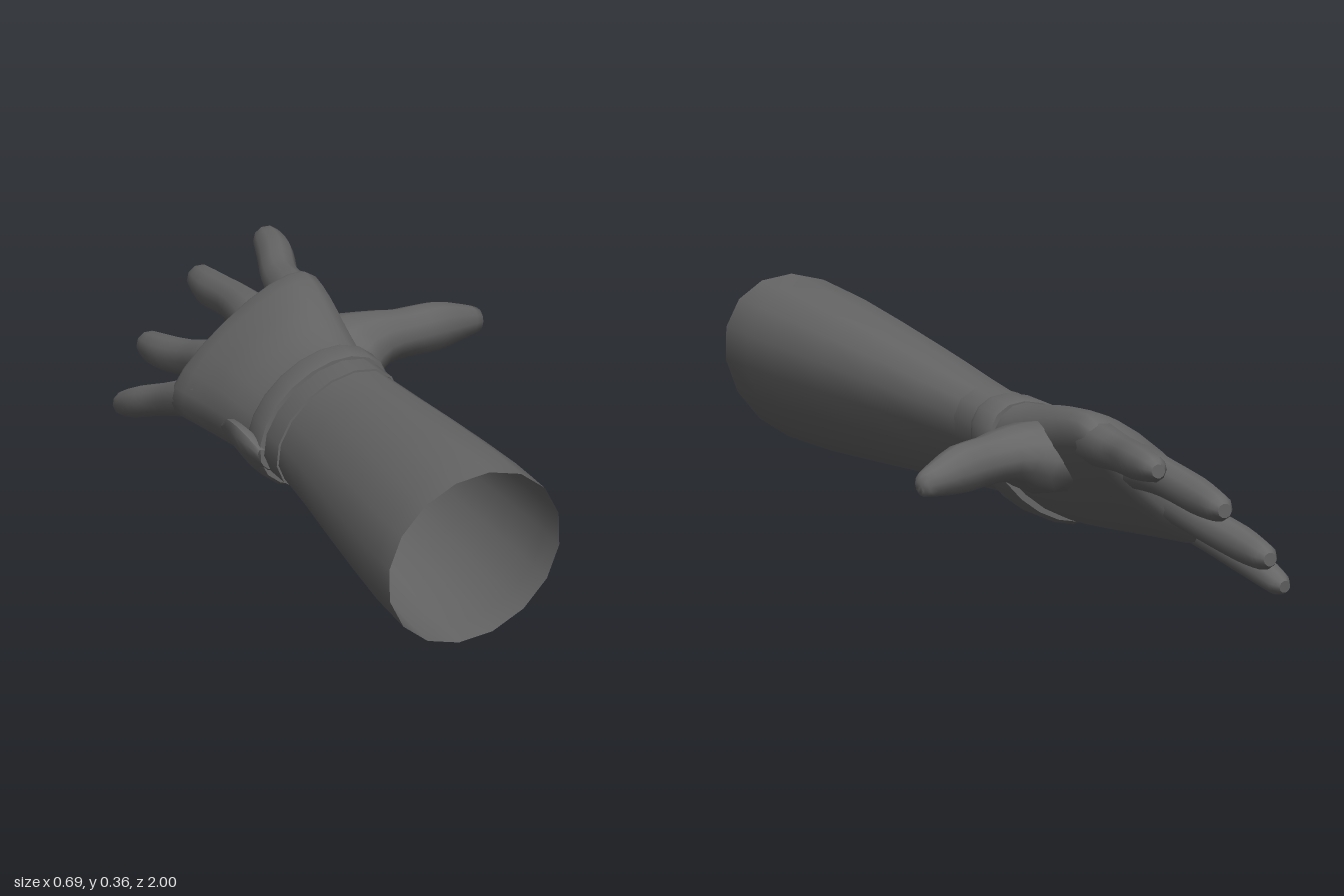
import * as THREE from 'three';
import { toCreasedNormals } from 'three/addons/utils/BufferGeometryUtils.js';

const material = new THREE.MeshStandardMaterial({ color: 0x666666, side: THREE.DoubleSide });
const TILT = 0.73; // roll of the whole arm about its length
const ACROSS = new THREE.Vector3(Math.cos(TILT), Math.sin(TILT), 0);
const DOWN_ARM = new THREE.Vector3(0, 0, -1);

// Skin elliptical rings. Each row: x, y, z, half size along axis, half size across it.
function loft(name, rows, { axis = ACROSS, dir = null, sides = 16, cap = false, steps = 2, power = 1 } = {}) {
  const curve = new THREE.CatmullRomCurve3(rows.map(r => new THREE.Vector3(r[0], r[1], r[2])));
  const sizes = new THREE.CatmullRomCurve3(rows.map(r => new THREE.Vector3(r[3], r[4], 0)));
  const rings = (rows.length - 1) * steps;
  const pos = [], index = [];
  const bend = c => Math.sign(c) * Math.abs(c) ** power;
  for (let i = 0; i <= rings; i++) {
    const c = curve.getPoint(i / rings), s = sizes.getPoint(i / rings);
    const t = dir || curve.getTangent(i / rings);
    const u = axis.clone().addScaledVector(t, -axis.dot(t)).normalize();
    const v = t.clone().cross(u);
    for (let j = 0; j < sides; j++) {
      const a = (j / sides) * Math.PI * 2;
      const p = c.clone().addScaledVector(u, s.x * bend(Math.cos(a))).addScaledVector(v, s.y * bend(Math.sin(a)));
      pos.push(p.x, p.y, p.z);
      if (i < rings) {
        const k = (j + 1) % sides, o = i * sides, n = o + sides;
        index.push(o + j, o + k, n + k, o + j, n + k, n + j);
      }
    }
  }
  if (cap) {
    const end = rows[rows.length - 1], o = rings * sides;
    pos.push(end[0], end[1], end[2]);
    for (let j = 0; j < sides; j++) index.push(o + j, o + (j + 1) % sides, o + sides);
  }
  const geo = new THREE.BufferGeometry();
  geo.setAttribute('position', new THREE.Float32BufferAttribute(pos, 3));
  geo.setIndex(index);
  const mesh = new THREE.Mesh(toCreasedNormals(geo, 0.9), material);
  mesh.name = name;
  return mesh;
}

export function createModel() {
  const arm = new THREE.Group();
  arm.name = 'glovedArm';

  // Open sleeve, tapering to the wrist
  arm.add(loft('forearm', [
    [-0.113, 0.19, 1, 0.201, 0.156],
    [-0.114, 0.19, 0.8, 0.197, 0.15],
    [-0.115, 0.19, 0.4, 0.173, 0.12],
    [-0.115, 0.187, 0, 0.147, 0.088],
    [-0.118, 0.185, -0.12, 0.146, 0.086],
  ], { dir: DOWN_ARM }));

  // Glove cuff and the raised strap around it
  arm.add(loft('cuff', [
    [-0.115, 0.187, 0.02, 0.149, 0.089],
    [-0.115, 0.187, 0.02, 0.153, 0.094],
    [-0.117, 0.185, -0.08, 0.152, 0.09],
    [-0.118, 0.183, -0.16, 0.15, 0.087],
  ], { dir: DOWN_ARM, steps: 1 }));
  arm.add(loft('wristStrap', [
    [-0.117, 0.182, -0.07, 0.145, 0.085],
    [-0.117, 0.182, -0.07, 0.16, 0.1],
    [-0.117, 0.18, -0.085, 0.165, 0.104],
    [-0.117, 0.18, -0.145, 0.165, 0.104],
    [-0.118, 0.182, -0.16, 0.16, 0.098],
    [-0.118, 0.182, -0.16, 0.145, 0.085],
  ], { dir: DOWN_ARM, steps: 1, sides: 20 }));

  // Leaf-shaped pull tab on the little-finger side
  arm.add(loft('strapTab', [
    [-0.242, 0.11, -0.065, 0.025, 0.012],
    [-0.25, 0.112, -0.12, 0.065, 0.024],
    [-0.258, 0.12, -0.2, 0.05, 0.02],
    [-0.272, 0.125, -0.27, 0.006, 0.006],
  ], { axis: new THREE.Vector3(-0.55, 0.83, 0), dir: DOWN_ARM, sides: 10, cap: true }));

  // Palm, widening to the knuckles and closing between the fingers
  arm.add(loft('palm', [
    [-0.118, 0.184, -0.11, 0.148, 0.086],
    [-0.124, 0.185, -0.2, 0.155, 0.09],
    [-0.131, 0.196, -0.32, 0.17, 0.09],
    [-0.138, 0.206, -0.43, 0.186, 0.08],
    [-0.146, 0.212, -0.54, 0.198, 0.068],
    [-0.145, 0.208, -0.59, 0.188, 0.05],
    [-0.142, 0.208, -0.615, 0.16, 0.025],
  ], { dir: DOWN_ARM, cap: true, sides: 20, power: 0.9 }));

  // Fingers: knuckle to tip centres; each gets the same taper, scaled
  const fingers = {
    indexFinger: [1, [-0.05, 0.295, -0.49], [-0.035, 0.298, -0.6], [-0.027, 0.3, -0.7], [0, 0.31, -0.83], [0.012, 0.314, -0.93], [0.014, 0.314, -0.958]],
    middleFinger: [1.03, [-0.115, 0.24, -0.49], [-0.112, 0.25, -0.61], [-0.113, 0.248, -0.73], [-0.119, 0.236, -0.86], [-0.116, 0.23, -0.97], [-0.115, 0.229, -1]],
    ringFinger: [0.98, [-0.185, 0.18, -0.48], [-0.198, 0.168, -0.59], [-0.213, 0.142, -0.71], [-0.232, 0.122, -0.83], [-0.236, 0.112, -0.93], [-0.236, 0.111, -0.958]],
    littleFinger: [0.87, [-0.245, 0.13, -0.46], [-0.266, 0.105, -0.56], [-0.288, 0.075, -0.66], [-0.312, 0.05, -0.74], [-0.325, 0.028, -0.81], [-0.328, 0.025, -0.832]],
  };
  const taper = [0.052, 0.046, 0.039, 0.038, 0.029, 0.015];
  for (const [name, [scale, ...pts]] of Object.entries(fingers)) {
    arm.add(loft(name, pts.map((p, i) => [...p, taper[i] * scale, taper[i] * scale * 0.97]),
      { sides: 10, cap: true, steps: 3 }));
  }

  // Thumb, flaring out of the palm
  arm.add(loft('thumb', [
    [-0.09, 0.21, -0.3, 0.06, 0.09],
    [0, 0.235, -0.352, 0.075, 0.112],
    [0.07, 0.252, -0.378, 0.058, 0.076],
    [0.14, 0.25, -0.408, 0.05, 0.056],
    [0.22, 0.246, -0.45, 0.051, 0.048],
    [0.29, 0.239, -0.491, 0.037, 0.035],
    [0.332, 0.234, -0.512, 0.026, 0.021],
    [0.339, 0.234, -0.516, 0.014, 0.012],
  ], { axis: new THREE.Vector3(0, 1, 0), sides: 12, cap: true }));

  return arm;
}
